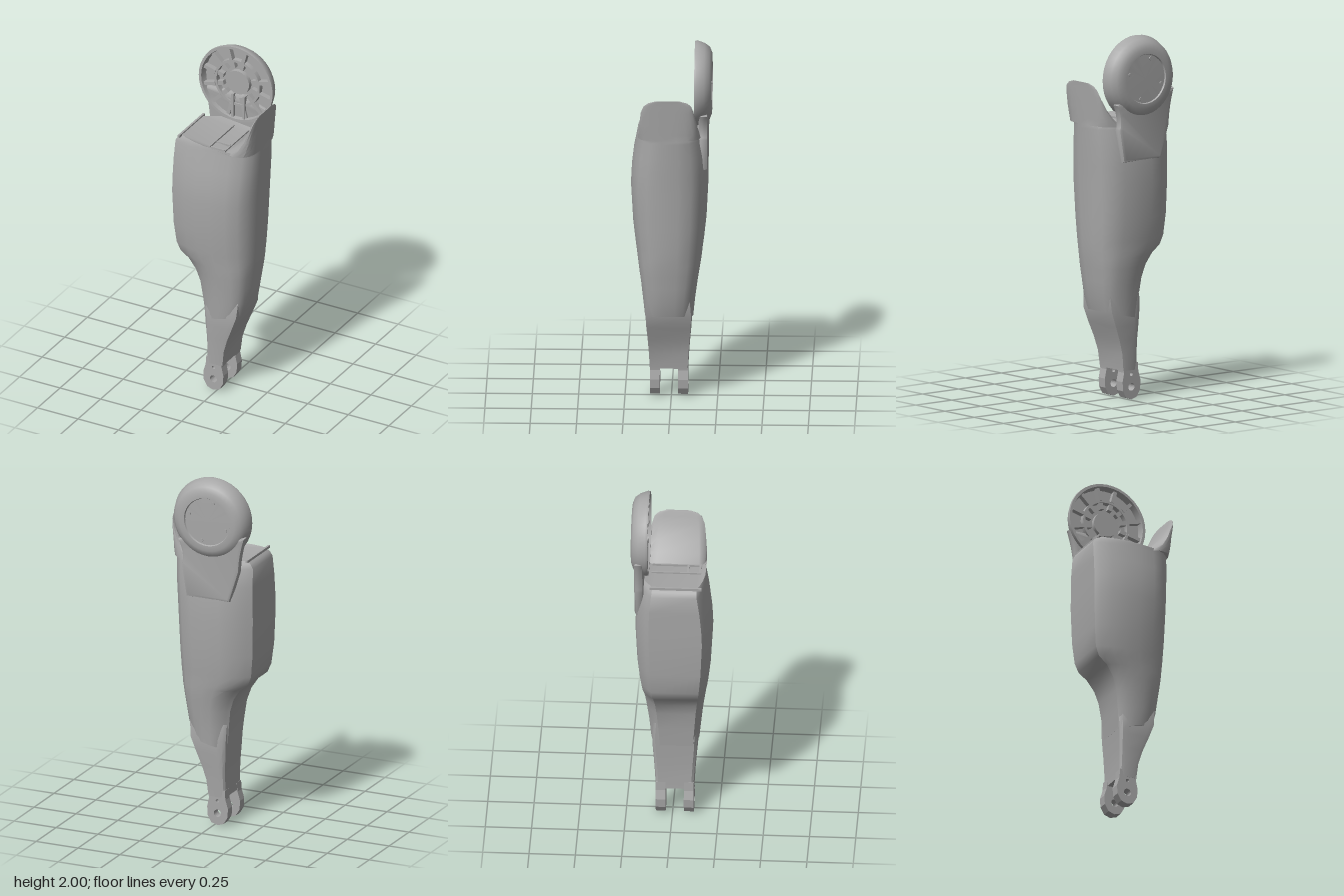
import * as THREE from 'three';
import { toCreasedNormals } from 'three/addons/utils/BufferGeometryUtils.js';

const metal = new THREE.MeshStandardMaterial({ color: 0xa8a8a8 });
metal.name = 'grey metal';

function add(group, name, geometry) {
  const mesh = new THREE.Mesh(geometry, metal);
  mesh.name = name;
  group.add(mesh);
  return mesh;
}

// Skin over stacked sections. Row: [yLeft, yRight, xLeft, xRight, zFront, zBack];
// contour points are [0..1 across x, -1..1 along z].
function loft(rows, contour, crease) {
  const pos = [], idx = [], n = contour.length;
  for (const [yl, yr, xl, xr, zf, zb] of rows) {
    for (const [t, s] of contour) {
      pos.push(xl + t * (xr - xl), yl + t * (yr - yl), (zf + zb) / 2 + s * (zf - zb) / 2);
    }
  }
  for (let j = 0; j < rows.length - 1; j++) {
    for (let i = 0; i < n; i++) {
      const a = j * n + i, b = j * n + (i + 1) % n;
      idx.push(a, b, b + n, a, b + n, a + n);
    }
  }
  const top = (rows.length - 1) * n;
  for (let i = 1; i < n - 1; i++) {
    idx.push(0, i + 1, i, top, top + i, top + i + 1);
  }
  const g = new THREE.BufferGeometry();
  g.setAttribute('position', new THREE.Float32BufferAttribute(pos, 3));
  g.setIndex(idx);
  return toCreasedNormals(g, crease);
}

function plate(shape, z0, z1, bevel = 0) {
  const g = new THREE.ExtrudeGeometry(shape, {
    depth: z1 - z0 - 2 * bevel, bevelEnabled: bevel > 0, bevelSize: bevel,
    bevelThickness: bevel, bevelOffset: -bevel, bevelSegments: 2, curveSegments: 10,
  });
  return g.translate(0, 0, z0 + bevel);
}

function circleHole(x, y, r) {
  return new THREE.Path().absarc(x, y, r, 0, Math.PI * 2, true);
}

export function createModel() {
  const model = new THREE.Group();
  model.name = 'lower leg';

  // Main shell: flat on the -x side, rounded on +x, rising into the curved fin
  const shellContour = [
    [0, 0.76], [0.06, 0.84], [0.2, 0.94], [0.36, 1], [0.55, 0.99], [0.74, 0.93], [0.88, 0.8],
    [0.965, 0.58], [1, 0.25], [1, -0.25], [0.965, -0.58], [0.88, -0.8], [0.74, -0.93],
    [0.55, -0.99], [0.36, -1], [0.2, -0.94], [0.06, -0.72], [0, -0.62],
  ];
  add(model, 'shinShell', loft([
    [0.44, 0.49, -0.068, 0.145, 0.142, -0.118],
    [0.55, 0.57, -0.078, 0.168, 0.152, -0.128],
    [0.66, 0.66, -0.092, 0.18, 0.163, -0.142],
    [0.73, 0.73, -0.115, 0.19, 0.173, -0.153],
    [0.79, 0.79, -0.155, 0.198, 0.181, -0.163],
    [0.83, 0.83, -0.205, 0.202, 0.187, -0.168],
    [0.88, 0.88, -0.226, 0.206, 0.194, -0.175],
    [1.0, 1.0, -0.238, 0.212, 0.208, -0.188],
    [1.2, 1.2, -0.243, 0.22, 0.219, -0.198],
    [1.3, 1.3, -0.242, 0.225, 0.214, -0.197],
    [1.4, 1.4, -0.241, 0.231, 0.202, -0.192],
    [1.5, 1.5, -0.238, 0.236, 0.183, -0.175],
    [1.525, 1.515, -0.222, 0.237, 0.18, -0.17],
    [1.54, 1.518, -0.198, 0.237, 0.178, -0.165],
    [1.508, 1.52, 0.07, 0.237, 0.177, -0.16],
    [1.555, 1.555, 0.125, 0.239, 0.174, -0.152],
    [1.61, 1.61, 0.174, 0.242, 0.168, -0.14],
    [1.68, 1.68, 0.215, 0.246, 0.16, -0.125],
    [1.72, 1.72, 0.233, 0.248, 0.145, -0.112],
    [1.74, 1.74, 0.241, 0.249, 0.12, -0.09],
    [1.752, 1.752, 0.246, 0.25, 0.08, -0.05],
  ], shellContour, 0.6));

  // Strut emerging from under the shell
  const strutContour = [
    [0, 0.85], [0.08, 0.96], [0.25, 1], [0.85, 1], [1, 0.97],
    [1, -0.97], [0.85, -1], [0.25, -1], [0.08, -0.96], [0, -0.85],
  ];
  add(model, 'lowerStrut', loft([
    [0.16, 0.16, -0.062, 0.036, 0.116, -0.091],
    [0.25, 0.25, -0.06, 0.046, 0.121, -0.096],
    [0.33, 0.33, -0.062, 0.07, 0.127, -0.102],
    [0.41, 0.41, -0.066, 0.102, 0.134, -0.109],
    [0.49, 0.49, -0.07, 0.132, 0.138, -0.113],
    [0.58, 0.58, -0.074, 0.14, 0.13, -0.105],
  ], strutContour, 0.6));

  // Ankle fork: two drilled lugs
  const lug = new THREE.Shape();
  lug.moveTo(0.036, 0.2);
  lug.lineTo(-0.062, 0.2);
  lug.lineTo(-0.066, 0.15);
  lug.lineTo(-0.081, 0.1);
  lug.lineTo(-0.078, 0.05);
  lug.lineTo(-0.055, 0.012);
  lug.lineTo(-0.02, 0);
  lug.lineTo(0.018, 0.012);
  lug.lineTo(0.04, 0.05);
  lug.lineTo(0.043, 0.1);
  lug.lineTo(0.032, 0.15);
  lug.holes.push(circleHole(-0.018, 0.068, 0.021), circleHole(-0.018, 0.138, 0.01));
  add(model, 'frontLug', plate(lug, 0.062, 0.115));
  add(model, 'backLug', plate(lug, -0.09, -0.037));

  // Knee housing: open dish facing front, capped at the back
  const knee = new THREE.Group();
  knee.name = 'kneeHousing';
  knee.position.set(-0.016, 1.77, 0);
  model.add(knee);
  const profile = [
    [0, -0.212], [0.132, -0.212], [0.136, -0.22], [0.165, -0.219], [0.195, -0.207],
    [0.215, -0.18], [0.23, -0.14], [0.228, -0.127], [0.213, -0.127], [0.205, -0.168],
    [0.142, -0.168], [0.14, -0.142], [0.126, -0.142], [0.124, -0.172], [0.072, -0.172],
    [0.07, -0.15], [0, -0.15],
  ].map(([r, z]) => new THREE.Vector2(r, z));
  const dish = new THREE.LatheGeometry(profile, 40).rotateX(Math.PI / 2);
  add(knee, 'dish', toCreasedNormals(dish, 0.6));

  // Ribs in the outer trough and short teeth round the hub
  function radialBlocks(name, count, radius, length, width, z, depth) {
    for (let i = 0; i < count; i++) {
      const a = (i + 0.5) / count * Math.PI * 2;
      const block = add(knee, name, new THREE.BoxGeometry(length, width, depth));
      block.position.set(Math.cos(a) * radius, Math.sin(a) * radius, z);
      block.rotation.z = a;
    }
  }
  radialBlocks('outerRib', 12, 0.173, 0.07, 0.02, -0.156, 0.036);
  radialBlocks('hubTooth', 12, 0.107, 0.036, 0.024, -0.16, 0.03);

  // Cable channel walls running down from the hub
  for (const x of [-0.025, 0.045]) {
    const wall = add(knee, 'channelWall', new THREE.BoxGeometry(0.014, 0.15, 0.036));
    wall.position.set(x, -0.145, -0.152);
  }

  // Cap screws at the back
  for (let i = 0; i < 4; i++) {
    const a = i * Math.PI / 2 + 0.3;
    const screw = add(knee, 'capScrew', new THREE.CylinderGeometry(0.01, 0.01, 0.008, 8).rotateX(Math.PI / 2));
    screw.position.set(Math.cos(a) * 0.113, Math.sin(a) * 0.113, -0.214);
  }

  // Neck joining the knee housing to the back of the shell
  const neck = new THREE.Shape();
  neck.moveTo(-0.232, 1.7);
  neck.quadraticCurveTo(-0.2, 1.6, -0.195, 1.5);
  neck.lineTo(-0.14, 1.32);
  neck.lineTo(0.12, 1.32);
  neck.lineTo(0.15, 1.5);
  neck.quadraticCurveTo(0.13, 1.56, 0.17, 1.64);
  neck.lineTo(0, 1.7);
  add(model, 'neck', toCreasedNormals(plate(neck, -0.2, -0.15, 0.018), 0.7));

  // Rails and connector frame on the shell top
  const topDetails = [
    ['edgeRail', 0.012, 0.28, -0.205, 1.54, 0.025],
    ['cableRail', 0.008, 0.27, -0.02, 1.52, 0.02],
    ['cableRail', 0.008, 0.27, 0.07, 1.512, 0.02],
    ['connectorFrame', 0.085, 0.01, 0.025, 1.515, 0.08],
    ['connectorFrame', 0.085, 0.01, 0.025, 1.515, 0.145],
  ];
  for (const [name, w, d, x, y, z] of topDetails) {
    add(model, name, new THREE.BoxGeometry(w, 0.014, d)).position.set(x, y, z);
  }

  return model;
}
